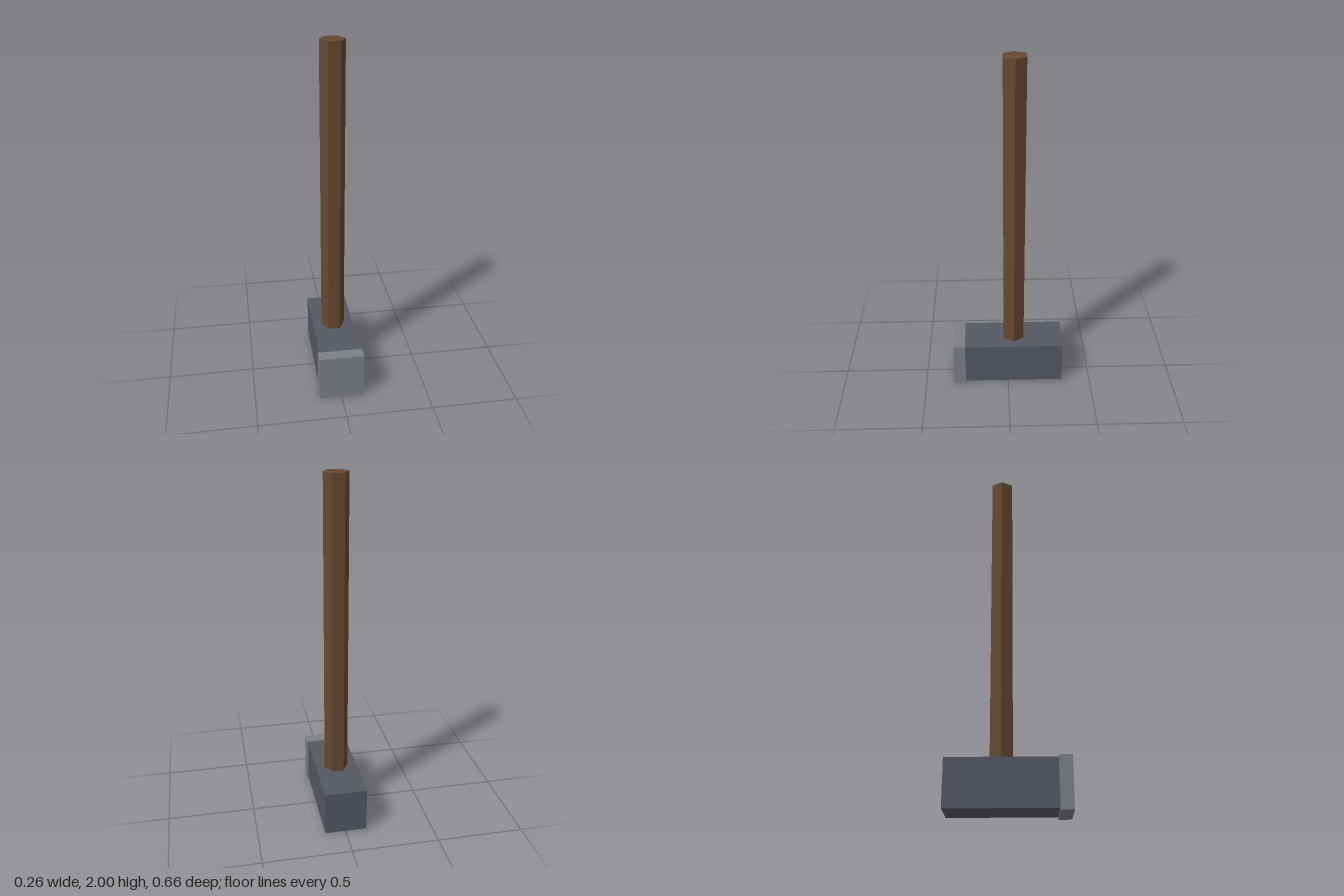
import * as THREE from 'three';

const material = (name, color) => {
  const m = new THREE.MeshStandardMaterial({ color, flatShading: true });
  m.name = name;
  return m;
};

export function createModel() {
  const wood = material('brown wood', 0x664830);
  const iron = material('dark iron', 0x555862);
  const steel = material('grey steel', 0x7c8086);

  const group = new THREE.Group();
  group.name = 'sledgehammer';

  const add = (name, geometry, mat, x, y, z) => {
    const mesh = new THREE.Mesh(geometry, mat);
    mesh.name = name;
    mesh.position.set(x, y, z);
    group.add(mesh);
  };

  // Heavy block resting on the ground, with a slightly wider striking plate
  add('head', new THREE.BoxGeometry(0.24, 0.258, 0.586), iron, 0, 0.139, -0.035);
  add('strikingFace', new THREE.BoxGeometry(0.258, 0.277, 0.07), steel, 0, 0.1385, 0.293);

  // Six-sided shaft with corners pointing left and right
  const shaft = new THREE.CylinderGeometry(0.069, 0.069, 1.8, 6, 1, false, Math.PI / 6);
  add('handle', shaft, wood, 0, 1.1, -0.036);

  return group;
}
